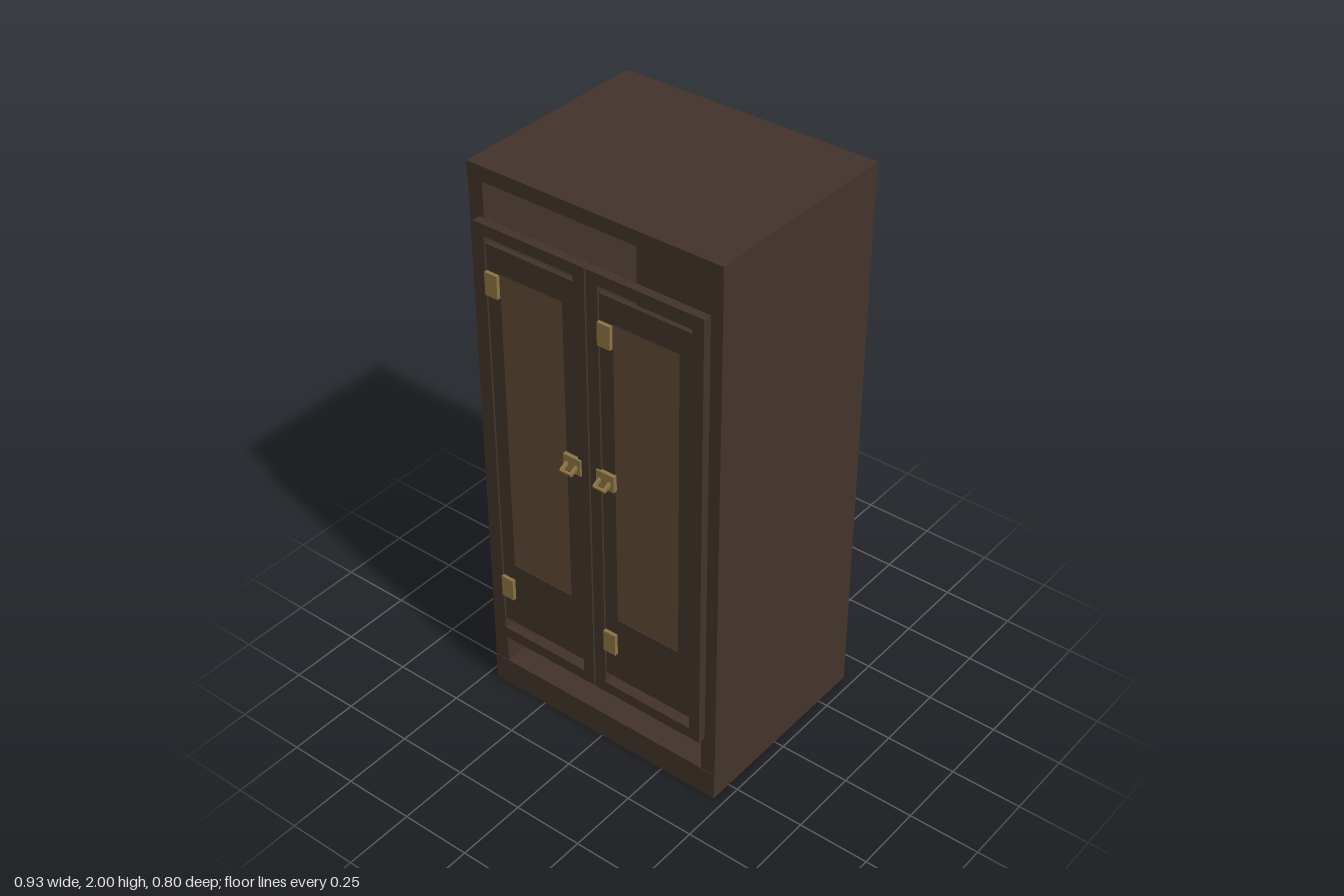
import * as THREE from 'three';

const material = (color) => new THREE.MeshStandardMaterial({ color });

export function createModel() {
  const model = new THREE.Group();
  model.name = 'cabinet';
  const wood = material(0x43342b);
  const inlay = material(0x604835);
  const brass = material(0x8c7442);

  // Box given by its lower and upper corner
  function box(parent, name, mat, [x0, y0, z0], [x1, y1, z1]) {
    const mesh = new THREE.Mesh(new THREE.BoxGeometry(x1 - x0, y1 - y0, z1 - z0), mat);
    mesh.position.set((x0 + x1) / 2, (y0 + y1) / 2, (z0 + z1) / 2);
    mesh.name = name;
    parent.add(mesh);
    return mesh;
  }

  // Carcass: plinth, top, two sides and back, open at the front
  box(model, 'plinth', wood, [-0.465, 0, -0.4], [0.465, 0.104, 0.33]);
  box(model, 'topBoard', wood, [-0.465, 1.95, -0.4], [0.465, 2, 0.33]);
  box(model, 'rightSide', wood, [-0.465, 0.104, -0.4], [-0.41, 1.95, 0.328]);
  box(model, 'leftSide', wood, [0.41, 0.104, -0.4], [0.465, 1.95, 0.328]);
  box(model, 'backPanel', wood, [-0.41, 0.104, -0.397], [0.41, 1.95, -0.37]);

  for (const side of [-1, 1]) {
    const door = new THREE.Group();
    door.name = side < 0 ? 'rightDoor' : 'leftDoor';
    model.add(door);
    const cx = side * 0.215; // middle of the door panel

    // Stiles and the slim rails at both ends
    box(door, 'outerStile', wood, [side * 0.405 - 0.02, 0.245, 0.33], [side * 0.405 + 0.02, 1.83, 0.36]);
    box(door, 'innerStile', wood, [side * 0.024 - 0.021, 0.245, 0.33], [side * 0.024 + 0.021, 1.83, 0.36]);
    box(door, 'bottomRail', wood, [cx - 0.17, 0.245, 0.33], [cx + 0.17, 0.286, 0.36]);
    box(door, 'topRail', wood, [cx - 0.17, 1.79, 0.33], [cx + 0.17, 1.83, 0.36]);

    // Panel with a window, set a little behind the stiles
    const shape = new THREE.Shape([[-0.17, 0.324], [0.17, 0.324], [0.17, 1.763], [-0.17, 1.763]]
      .map(([x, y]) => new THREE.Vector2(x, y)));
    shape.holes.push(new THREE.Path([[-0.12, 0.57], [-0.12, 1.676], [0.12, 1.676], [0.12, 0.57]]
      .map(([x, y]) => new THREE.Vector2(x, y))));
    const panel = new THREE.Mesh(
      new THREE.ExtrudeGeometry(shape, { depth: 0.016, bevelEnabled: false }), wood);
    panel.position.set(cx, 0, 0.337);
    panel.name = 'doorPanel';
    door.add(panel);
    box(door, 'inlayPanel', inlay, [cx - 0.12, 0.57, 0.339], [cx + 0.12, 1.676, 0.35]);

    // Hinge plates, on the same edge of both doors
    for (const y of [0.47, 1.632]) {
      box(door, 'hinge', brass, [cx - 0.17, y - 0.04, 0.352], [cx - 0.122, y + 0.04, 0.366]);
    }

    // Pull: back plate, two arms and a crossbar, drooping slightly
    const pull = new THREE.Group();
    pull.name = 'pull';
    pull.position.set(side * 0.065, 1.112, 0.365);
    door.add(pull);
    box(pull, 'pullPlate', brass, [-0.034, -0.029, -0.013], [0.034, 0.029, 0.002]);
    const bail = new THREE.Group();
    bail.name = 'bail';
    bail.rotation.x = 0.45;
    pull.add(bail);
    for (const arm of [-1, 1]) {
      box(bail, 'arm', brass, [arm * 0.019 - 0.005, -0.005, 0], [arm * 0.019 + 0.005, 0.006, 0.03]);
    }
    box(bail, 'crossbar', brass, [-0.022, -0.007, 0.026], [0.022, 0.006, 0.035]);
  }
  return model;
}
